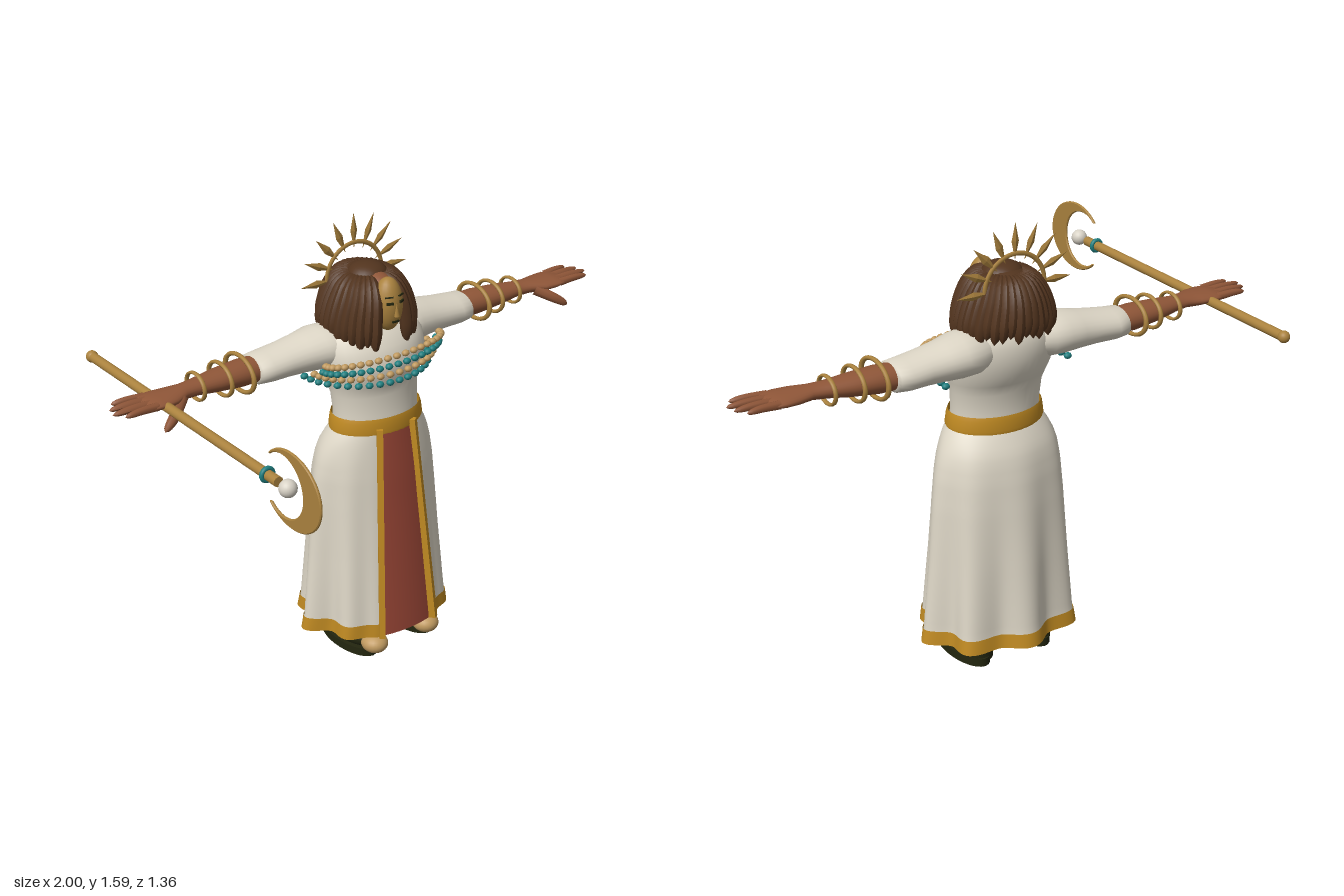
import * as THREE from 'three';

const mat = (name, color, side = THREE.FrontSide) => {
  const m = new THREE.MeshStandardMaterial({ color, side });
  m.name = name;
  return m;
};
const M = {
  cream: mat('cream cloth', 0xddd6c6, THREE.DoubleSide),
  trim: mat('golden trim', 0xc08a22, THREE.DoubleSide),
  red: mat('red cloth', 0x9a4636, THREE.DoubleSide),
  skin: mat('brown skin', 0x8f5638),
  hair: mat('dark brown hair', 0x52341e),
  teal: mat('teal', 0x1f7f80),
  dark: mat('dark leather', 0x23260f),
  gold: mat('old gold', 0xaa823e),
  tan: mat('tan', 0xc09a60),
  pearl: mat('pearl', 0xd8d2c6),
};

// Surface over a grid of points p(u, v); optionally closed in u
function grid(nu, nv, p, closed = true) {
  const cols = closed ? nu : nu + 1, pos = [], index = [];
  for (let j = 0; j <= nv; j++) for (let i = 0; i < cols; i++) pos.push(...p(i / nu, j / nv));
  for (let j = 0; j < nv; j++) for (let i = 0; i < nu; i++) {
    const a = j * cols + i, b = j * cols + (i + 1) % cols;
    index.push(a, b, b + cols, a, b + cols, a + cols);
  }
  const g = new THREE.BufferGeometry();
  g.setAttribute('position', new THREE.Float32BufferAttribute(pos, 3));
  g.setIndex(index);
  g.computeVertexNormals();
  return g;
}

// Interpolates a table of rows by its first column
function row(rows, k) {
  let i = 0;
  while (i < rows.length - 2 && rows[i + 1][0] < k) i++;
  const t = (k - rows[i][0]) / (rows[i + 1][0] - rows[i][0]);
  return rows[i].map((v, n) => v + (rows[i + 1][n] - v) * t);
}

// Upright loft, rows of [y, half width, back z, front z]
const upright = (rows) => grid(40, rows.length - 1, (u, v) => {
  const [y, w, b, f] = rows[Math.round(v * (rows.length - 1))], a = u * Math.PI * 2;
  return [w * Math.sin(a), y, (b + f) / 2 + (f - b) / 2 * Math.cos(a)];
});

// Sideways loft, rows of [x, centre y, centre z, half height, half depth]
const sideways = (rows) => grid(24, rows.length - 1, (u, v) => {
  const [x, y, z, h, d] = rows[Math.round(v * (rows.length - 1))], a = u * Math.PI * 2;
  return [x, y + h * Math.cos(a), z + d * Math.sin(a)];
});

// Tube whose radius follows a rule along its path
function taperTube(points, radius, segs = 12, sides = 8) {
  const path = new THREE.CatmullRomCurve3(points.map((p) => new THREE.Vector3(...p)));
  const g = new THREE.TubeGeometry(path, segs, 1, sides);
  const pos = g.attributes.position, v = new THREE.Vector3();
  for (let i = 0; i < pos.count; i++) {
    const t = Math.floor(i / (sides + 1)) / segs, c = path.getPointAt(t);
    v.fromBufferAttribute(pos, i).sub(c).multiplyScalar(radius(t)).add(c);
    pos.setXYZ(i, v.x, v.y, v.z);
  }
  g.computeVertexNormals();
  return g;
}

const SKIRT = [[0.1, 0.305, -0.42, 0.03], [0.15, 0.297, -0.41, 0.026], [0.4, 0.272, -0.385, 0.004],
  [0.6, 0.255, -0.363, -0.014], [0.7, 0.243, -0.35, -0.022], [0.76, 0.23, -0.338, -0.028],
  [0.8, 0.216, -0.326, -0.032], [0.84, 0.196, -0.305, -0.036], [0.88, 0.17, -0.28, -0.04]];

// Point of the skirt at an angle from the front, with folds deepening to the hem
function skirtPoint(a, y, out = 0) {
  const [, w, b, f] = row(SKIRT, y);
  const fromFront = Math.min(a, Math.PI * 2 - a);
  const fold = 0.17 * THREE.MathUtils.clamp((0.85 - y) / 0.75, 0, 1) * THREE.MathUtils.smoothstep(fromFront, 0.4, 0.8);
  const s = 1 - fold * (1 - Math.cos(8 * a)) / 2;
  return [(w + out) * s * Math.sin(a), y, (b + f) / 2 + ((f - b) / 2 + out) * s * Math.cos(a)];
}
const panelWidth = (y) => 0.113 - 0.05 * (y - 0.1) / 0.78;
const edgeAngle = (y) => Math.asin(panelWidth(y) / row(SKIRT, y)[1]);

export function createModel() {
  const root = new THREE.Group();
  const add = (parent, name, geo, m, p = [0, 0, 0], s = [1, 1, 1], r = [0, 0, 0]) => {
    const mesh = new THREE.Mesh(geo, m);
    mesh.name = name;
    mesh.position.set(...p);
    mesh.scale.set(...s);
    mesh.rotation.set(...r);
    parent.add(mesh);
    return mesh;
  };
  const group = (name) => {
    const g = new THREE.Group();
    g.name = name;
    root.add(g);
    return g;
  };
  const ball = new THREE.SphereGeometry(1, 24, 16);
  const bead = new THREE.SphereGeometry(0.0125, 10, 8);

  // Skirt with open front, hem, front panel and edge strips
  const skirt = group('skirt');
  const cloth = (y0, y1, out) => (u, v) => {
    const y = y0 + (y1 - y0) * v, e = edgeAngle(y);
    return skirtPoint(e + u * (Math.PI * 2 - 2 * e), y, out);
  };
  add(skirt, 'skirtCloth', grid(112, 40, cloth(0.1, 0.88, 0), false), M.cream);
  add(skirt, 'hem', grid(112, 2, cloth(0.1, 0.15, 0.004), false), M.trim);
  add(skirt, 'frontPanel', grid(10, 20, (u, v) => {
    const y = 0.1 + 0.78 * v, e = edgeAngle(y), a = (u * 2 - 1) * e;
    const p = skirtPoint(Math.abs(a), y);
    return [p[0] * Math.sign(a), y, p[2]];
  }, false), M.red);
  for (const s of [-1, 1]) {
    const low = new THREE.Vector3(s * 0.115, 0.1, 0.022), high = new THREE.Vector3(s * 0.07, 0.89, -0.046);
    const strip = add(skirt, 'panelTrim', new THREE.BoxGeometry(0.022, 0.026, low.distanceTo(high)), M.trim);
    strip.position.copy(low).add(high).multiplyScalar(0.5);
    strip.lookAt(high);
  }
  add(skirt, 'belt', upright([[0.86, 0.176, -0.29, -0.04], [0.875, 0.18, -0.293, -0.037],
    [0.91, 0.175, -0.29, -0.04], [0.925, 0.17, -0.286, -0.044]]), M.trim);

  // Torso
  add(root, 'torso', upright([[0.87, 0.165, -0.28, -0.05], [0.93, 0.162, -0.28, -0.055], [1, 0.17, -0.28, -0.065],
    [1.04, 0.18, -0.3, -0.055], [1.08, 0.193, -0.32, -0.04], [1.13, 0.2, -0.33, -0.038], [1.18, 0.2, -0.33, -0.06],
    [1.215, 0.18, -0.315, -0.09], [1.24, 0.13, -0.29, -0.12], [1.255, 0.05, -0.25, -0.15]]), M.cream);
  add(root, 'neck', new THREE.CylinderGeometry(0.05, 0.06, 0.12, 20), M.skin, [0, 1.24, -0.18]);

  // Rows of beads across the chest
  const necklace = group('necklace');
  const beadRows = [[1.15, 0.075, -0.04, M.tan], [1.123, 0.1, -0.032, M.teal], [1.096, 0.16, -0.025, M.tan], [1.066, 0.22, -0.025, M.teal]];
  for (const [y, depth, front, m] of beadRows) for (let i = 0; i <= 20; i++) {
    const a = (i / 20 - 0.5) * Math.PI;
    add(necklace, 'bead', bead, m, [0.24 * Math.sin(a), y, front - depth * (1 - Math.cos(a))], [1.15, 0.9, 1]);
  }

  // Arms, hands, bracelets, legs and shoes, mirrored
  for (const s of [1, -1]) {
    const arm = group(s > 0 ? 'leftArm' : 'rightArm');
    arm.scale.x = s;
    add(arm, 'sleeve', sideways([[0.08, 1.165, -0.22, 0.06, 0.08], [0.14, 1.165, -0.23, 0.075, 0.1],
      [0.2, 1.165, -0.24, 0.073, 0.098], [0.26, 1.16, -0.243, 0.065, 0.086], [0.33, 1.155, -0.245, 0.058, 0.08],
      [0.4, 1.15, -0.248, 0.053, 0.08], [0.445, 1.15, -0.248, 0.05, 0.072], [0.45, 1.15, -0.248, 0.042, 0.05]]), M.cream);
    add(arm, 'forearm', sideways([[0.41, 1.15, -0.248, 0.044, 0.052], [0.5, 1.152, -0.246, 0.045, 0.056],
      [0.6, 1.154, -0.242, 0.036, 0.05], [0.68, 1.156, -0.236, 0.027, 0.037], [0.73, 1.157, -0.23, 0.024, 0.038],
      [0.78, 1.156, -0.225, 0.023, 0.057], [0.83, 1.157, -0.225, 0.02, 0.064], [0.875, 1.158, -0.225, 0.014, 0.06],
      [0.89, 1.158, -0.225, 0.001, 0.05]]), M.skin);
    const tip = (r) => (t) => r * Math.sqrt(Math.max(0, 1 - t ** 6)) * (1 - 0.25 * t);
    [[-0.05, 0.965], [-0.017, 0.992], [0.017, 1], [0.05, 0.975]].forEach(([dz, x]) => add(arm, 'finger',
      taperTube([[0.85, 1.158, -0.225 + dz * 0.9], [0.92, 1.162, -0.225 + dz], [x, 1.16, -0.225 + dz * 1.1]], tip(0.015)), M.skin));
    add(arm, 'thumb', taperTube([[0.75, 1.15, -0.2], [0.8, 1.12, -0.16], [0.855, 1.085, -0.135]], tip(0.022)), M.skin);
    [[0.5, 0.064, 0.088], [0.575, 0.056, 0.072], [0.67, 0.046, 0.056]].forEach(([x, h, d]) => add(arm, 'bracelet',
      new THREE.TorusGeometry(1, 0.11, 8, 32), M.gold, [x, 1.154, -0.242], [d, h, 0.075], [0, Math.PI / 2, 0]));

    const leg = group(s > 0 ? 'leftLeg' : 'rightLeg');
    leg.scale.x = s;
    add(leg, 'shin', new THREE.CylinderGeometry(0.07, 0.04, 0.6, 20), M.skin, [0.115, 0.42, -0.22]);
    add(leg, 'shoe', ball, M.dark, [0.122, 0.06, -0.165], [0.06, 0.052, 0.135]);
    add(leg, 'sole', new THREE.CylinderGeometry(1, 1, 0.03, 28), M.dark, [0.125, 0.02, -0.165], [0.065, 1, 0.145]);
    add(leg, 'ankleCuff', new THREE.CylinderGeometry(0.052, 0.055, 0.16, 20), M.dark, [0.12, 0.1, -0.25]);
    add(leg, 'toes', ball, M.tan, [0.115, 0.056, -0.025], [0.048, 0.036, 0.052]);
  }

  // Head and golden face
  const head = group('head');
  add(head, 'skull', ball, M.skin, [0, 1.325, -0.15], [0.07, 0.095, 0.09]);
  add(head, 'face', ball, M.gold, [0, 1.325, -0.09], [0.052, 0.095, 0.05]);
  add(head, 'nose', new THREE.ConeGeometry(0.011, 0.05, 8), M.gold, [0, 1.32, -0.039], [1, 1, 0.8]);
  for (const s of [-1, 1]) {
    add(head, 'eye', new THREE.BoxGeometry(0.024, 0.008, 0.008), M.dark, [s * 0.024, 1.343, -0.046], [1, 1, 1], [0, s * 0.45, 0]);
    add(head, 'brow', new THREE.BoxGeometry(0.028, 0.005, 0.008), M.dark, [s * 0.024, 1.364, -0.05], [1, 1, 1], [-0.3, s * 0.45, s * 0.1]);
  }
  add(head, 'mouth', new THREE.BoxGeometry(0.026, 0.006, 0.008), M.dark, [0, 1.274, -0.047]);

  // Hair: cap, bun and a curtain of hanging locks
  const hair = group('hair');
  add(hair, 'cap', ball, M.hair, [0, 1.325, -0.23], [0.118, 0.1, 0.13]);
  add(hair, 'bun', ball, M.hair, [0, 1.4, -0.205], [0.07, 0.04, 0.07]);
  const locks = 34;
  for (let i = 0; i < locks; i++) {
    const a = 0.42 + (i / (locks - 1)) * (Math.PI * 2 - 0.84), back = (1 - Math.cos(a)) / 2;
    const end = 1.165 + 0.055 * back + 0.012 * Math.sin(i * 2.4), sx = Math.sin(a), cz = Math.cos(a);
    const at = (rx, rz, y) => [rx * sx, y, -0.215 + rz * cz];
    add(hair, 'lock', taperTube([at(0.03, 0.03, 1.405), at(0.085, 0.1, 1.395), at(0.122, 0.142, 1.345),
      at(0.148, 0.155, 1.28), at(0.162, 0.155, end)],
    (t) => 0.022 * Math.min(1, 0.35 + t * 2, Math.sqrt(Math.max(0, (1 - t) * 5))), 16), M.hair);
  }

  // Sunburst crown behind the head
  const crown = group('crown');
  add(crown, 'crownBand', new THREE.TorusGeometry(0.115, 0.008, 8, 40, Math.PI), M.gold, [0, 1.37, -0.28], [1, 1, 0.7]);
  const ray = new THREE.OctahedronGeometry(1, 0);
  for (let i = 0; i < 9; i++) {
    const a = i * Math.PI / 8;
    add(crown, 'ray', ray, M.gold, [0.157 * Math.cos(a), 1.37 + 0.157 * Math.sin(a), -0.28], [0.014, 0.064, 0.006], [0, 0, a - Math.PI / 2]);
  }

  // Staff with collar, pearl and crescent
  const staff = group('staff');
  staff.position.set(-0.82, 1.15, 0);
  add(staff, 'shaft', new THREE.CylinderGeometry(0.017, 0.017, 1.12, 20), M.gold, [0, 0, -0.1], [1, 1, 1], [Math.PI / 2, 0, 0]);
  add(staff, 'endKnob', ball, M.gold, [0, 0, -0.66], [0.021, 0.021, 0.021]);
  add(staff, 'collar', new THREE.TorusGeometry(0.02, 0.008, 10, 24), M.teal, [0, 0, 0.4]);
  add(staff, 'pearl', ball, M.pearl, [0, 0, 0.51], [0.029, 0.029, 0.029]);
  const moon = new THREE.Shape();
  moon.absellipse(0.53, 0, 0.15, 0.126, -2.42, 2.42, false);
  moon.absarc(0.488, 0, 0.107, 2.25, -2.25, true);
  const crescent = new THREE.ExtrudeGeometry(moon, { depth: 0.004, bevelEnabled: true, bevelSize: 0.003, bevelThickness: 0.003, bevelSegments: 1, curveSegments: 32 });
  add(staff, 'crescent', crescent, M.gold, [0.002, 0, 0], [1, 1, 1], [0, -Math.PI / 2, 0]);
  return root;
}
